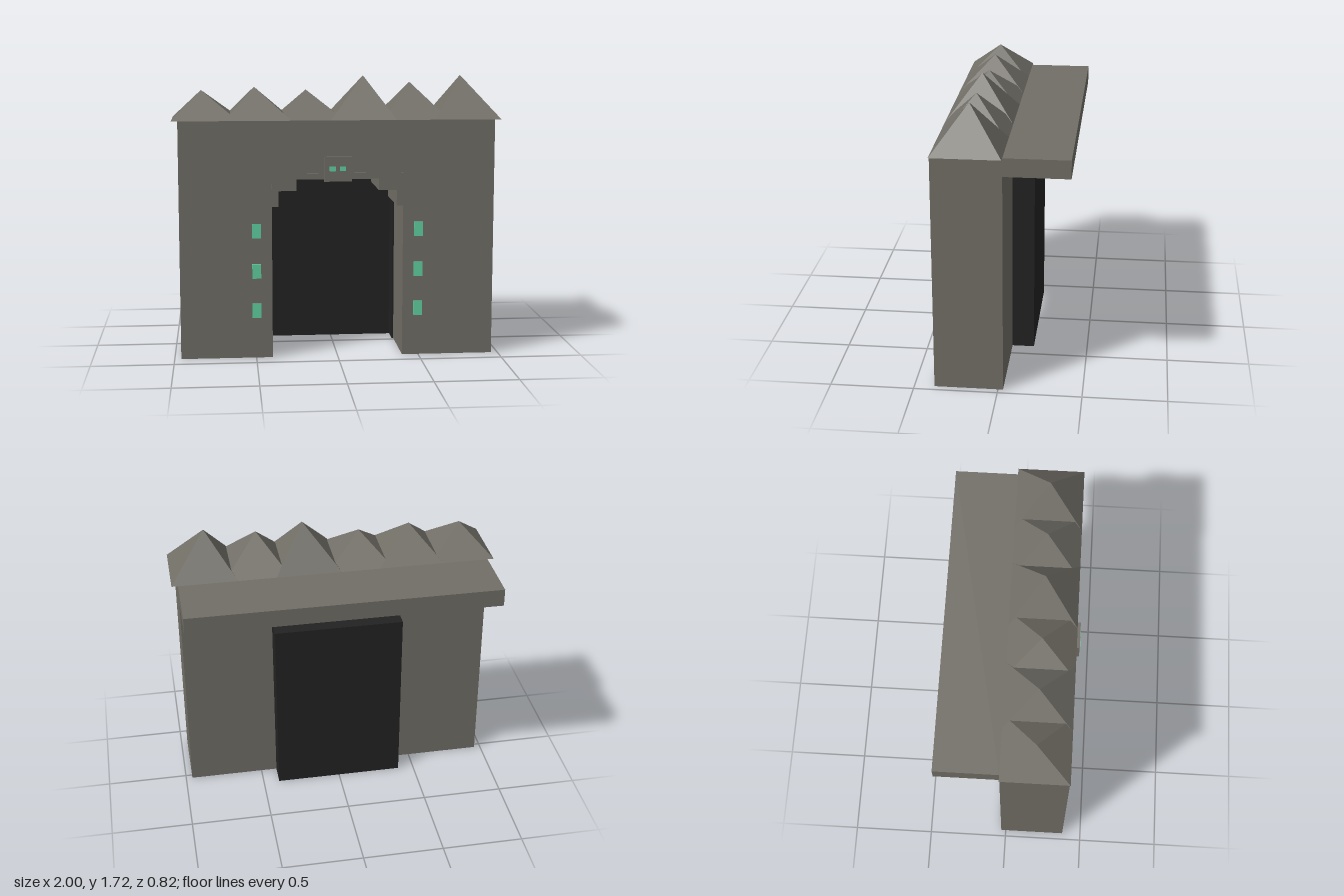
import * as THREE from 'three';

export function createModel() {
  const group = new THREE.Group();
  const material = (name, color, options = {}) => {
    const m = new THREE.MeshStandardMaterial({ color, ...options });
    m.name = name;
    return m;
  };
  const stone = material('stone', 0x716e66, { flatShading: true });
  const dark = material('darkness', 0x222222);
  const glow = material('greenGlow', 0x62d2a2);

  const add = (name, geometry, mat) => {
    const mesh = new THREE.Mesh(geometry, mat);
    mesh.name = name;
    group.add(mesh);
    return mesh;
  };
  // Box given by its limits on each axis
  const box = (name, mat, x0, x1, y0, y1, z0, z1) => {
    const g = new THREE.BoxGeometry(x1 - x0, y1 - y0, z1 - z0);
    g.translate((x0 + x1) / 2, (y0 + y1) / 2, (z0 + z1) / 2);
    return add(name, g, mat);
  };
  // Outline extruded along z
  const slab = (name, mat, points, z0, z1) => {
    const shape = new THREE.Shape(points.map(([x, y]) => new THREE.Vector2(x, y)));
    const g = new THREE.ExtrudeGeometry(shape, { depth: z1 - z0, bevelEnabled: false });
    g.translate(0, 0, z0);
    return add(name, g, mat);
  };

  const back = -0.03, front = 0.38, top = 1.455, doorHalf = 0.4, doorTop = 1.137;

  // Gate wall with a rectangular doorway
  slab('gateWall', stone, [
    [-0.96, 0], [-doorHalf, 0], [-doorHalf, doorTop], [doorHalf, doorTop],
    [doorHalf, 0], [0.96, 0], [0.96, top], [-0.96, top],
  ], back, front);

  // Stepped arch filling the upper doorway, standing slightly proud
  const half = [[0.4, 0.935], [0.36, 0.935], [0.36, 1.03], [0.25, 1.03], [0.25, 1.1]];
  const mirrored = half.map(([x, y]) => [-x, y]).reverse();
  slab('steppedArch', stone,
    [[doorHalf, doorTop], [-doorHalf, doorTop], ...mirrored.reverse(), ...half.reverse()],
    back + 0.002, front + 0.006);

  // Hollow dark recess behind the doorway, open at the front and below
  const recessBack = -0.165;
  box('recessBack', dark, -0.4, 0.4, 0, 1.14, recessBack, recessBack + 0.01);
  box('recessTop', dark, -0.4, 0.4, 1.13, 1.14, recessBack, back);
  for (const s of [-1, 1]) {
    box('recessSide', dark, Math.min(s * 0.4, s * 0.39), Math.max(s * 0.4, s * 0.39),
      0, 1.14, recessBack, back);
  }

  // Roof ledge projecting to the rear
  box('rearLedge', stone, -0.96, 0.96, 1.345, top, -0.415, back);

  // Row of overlapping leaning pyramids: apex x and apex y
  const peaks = [[-0.82, 1.63], [-0.497, 1.648], [-0.18, 1.63],
    [0.173, 1.715], [0.46, 1.675], [0.777, 1.715]];
  peaks.forEach(([px, py], i) => {
    const cx = -0.798 + 0.3192 * i, h = py - top;
    const g = new THREE.ConeGeometry(Math.SQRT1_2, 1, 4, 1);
    g.rotateY(Math.PI / 4);
    g.scale(0.402, h, front - back);
    g.translate(cx, top + h / 2, (front + back) / 2);
    const p = g.attributes.position;
    for (let v = 0; v < p.count; v++) {
      if (p.getY(v) > top + h / 2) p.setX(v, px); // lean the tip
    }
    g.computeVertexNormals();
    add('roofPeak', g, stone);
  });

  // Keystone with two glowing eyes
  box('keystone', stone, -0.084, 0.084, 1.087, 1.236, front, 0.405);
  for (const x of [-0.033, 0.03]) {
    box('keystoneEye', glow, x - 0.018, x + 0.018, 1.151, 1.18, 0.403, 0.41);
  }

  // Glowing lamps beside the doorway
  for (const s of [-1, 1]) {
    for (const y of [0.295, 0.54, 0.788]) {
      box('wallLamp', glow, s * 0.495 - 0.027, s * 0.495 + 0.027, y - 0.044, y + 0.044, front, 0.394);
    }
  }
  return group;
}
